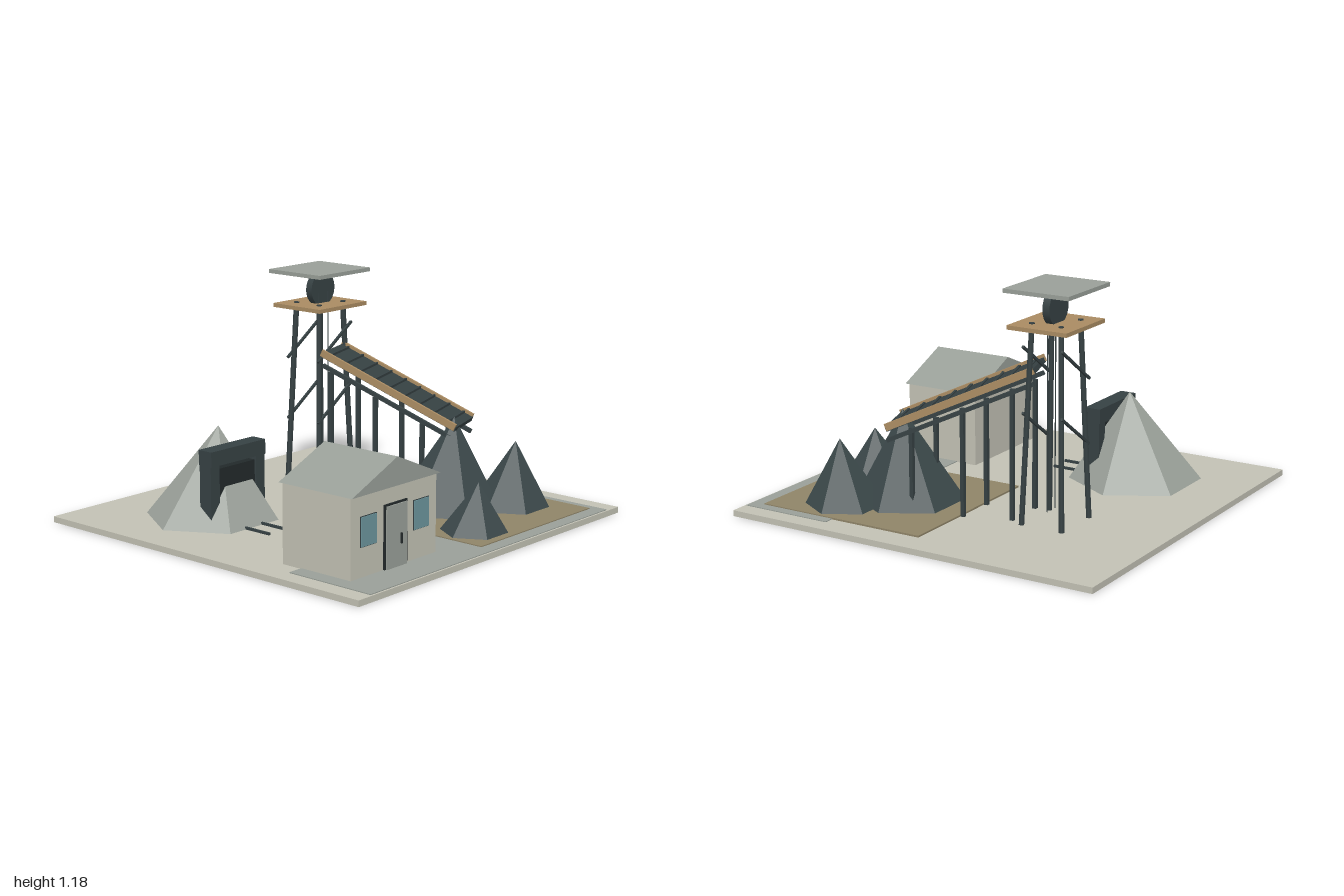
import * as THREE from 'three';

const mat = (name, color, extra = {}) => {
  const m = new THREE.MeshStandardMaterial({ color, ...extra });
  m.name = name;
  return m;
};

export function createModel() {
  const model = new THREE.Group();
  model.name = 'miningCamp';

  const stone = mat('paleStone', 0xc2c1b4);
  const grey = mat('grey', 0x999f98);
  const rock = mat('rockGrey', 0x9da39c);
  const coal = mat('coal', 0x3c494b);
  const steel = mat('darkSteel', 0x364143);
  const black = mat('shadowBlack', 0x22292a);
  const dirt = mat('dirt', 0x8f8468);
  const wood = mat('wood', 0xa98b62);
  const glass = mat('glass', 0x6c959c);
  rock.flatShading = coal.flatShading = true;

  const add = (name, geo, material, parent = model) => {
    const mesh = new THREE.Mesh(geo, material);
    mesh.name = name;
    parent.add(mesh);
    return mesh;
  };
  const group = (name) => {
    const g = new THREE.Group();
    g.name = name;
    model.add(g);
    return g;
  };
  // box given by its extents
  const box = (name, x0, x1, y0, y1, z0, z1, material, parent) => {
    const mesh = add(name, new THREE.BoxGeometry(x1 - x0, y1 - y0, z1 - z0), material, parent);
    mesh.position.set((x0 + x1) / 2, (y0 + y1) / 2, (z0 + z1) / 2);
    return mesh;
  };
  // square or round bar between two points
  const bar = (name, a, b, w, h, material, parent) => {
    const mesh = add(name, new THREE.BoxGeometry(w, h, a.distanceTo(b)), material, parent);
    mesh.position.copy(a).lerp(b, 0.5);
    mesh.lookAt(b);
    return mesh;
  };
  const rod = (name, a, b, r, sides, material, parent) => {
    const mesh = add(name, new THREE.CylinderGeometry(r, r, a.distanceTo(b), sides), material, parent);
    mesh.position.copy(a).lerp(b, 0.5);
    mesh.quaternion.setFromUnitVectors(new THREE.Vector3(0, 1, 0), b.clone().sub(a).normalize());
    return mesh;
  };
  const V = (x, y, z) => new THREE.Vector3(x, y, z);
  // six-sided heap with its peak pushed slightly off centre
  const heap = (name, x, z, r, y0, y1, dx, dz, material) => {
    const geo = new THREE.ConeGeometry(r, y1 - y0, 6).rotateY(Math.PI / 6);
    const p = geo.attributes.position;
    for (let i = 0; i < p.count; i++) {
      if (p.getY(i) > 0) p.setXYZ(i, dx, p.getY(i), dz);
    }
    add(name, geo, material).position.set(x, (y0 + y1) / 2, z);
  };

  // Ground
  box('groundSlab', -1, 1, 0, 0.03, -1, 1, stone);
  box('road', -0.91, 0.91, 0.03, 0.034, 0.51, 0.99, grey);
  box('dirtPad', -0.03, 0.86, 0.03, 0.039, 0.01, 0.92, dirt);

  // Office hut with a gabled roof
  const hut = group('hut');
  box('hutWalls', -0.83, -0.23, 0.03, 0.416, 0.395, 0.805, stone, hut);
  const gable = new THREE.Shape([[-0.84, 0.415], [-0.215, 0.415], [-0.5275, 0.55]]
    .map(([x, y]) => new THREE.Vector2(x, y)));
  add('hutRoof', new THREE.ExtrudeGeometry(gable, { depth: 0.44, bevelEnabled: false }), grey, hut)
    .position.z = 0.38;
  box('doorFrame', -0.607, -0.447, 0.03, 0.338, 0.805, 0.814, black, hut);
  box('door', -0.598, -0.456, 0.03, 0.329, 0.812, 0.82, grey, hut);
  box('doorHandle', -0.503, -0.496, 0.14, 0.19, 0.82, 0.828, black, hut);
  for (const x of [-0.712, -0.343]) {
    box('windowFrame', x - 0.055, x + 0.055, 0.174, 0.317, 0.805, 0.809, steel, hut);
    box('windowPane', x - 0.052, x + 0.052, 0.177, 0.314, 0.807, 0.813, glass, hut);
  }

  // Rock hill and mine entrance
  heap('rockHill', -0.475, -0.415, 0.337, 0.03, 0.49, 0.028, 0.022, rock);
  const portal = group('minePortal');
  for (const s of [-1, 1]) {
    const x = -0.478 + s * 0.157;
    box('portalPost', x - 0.03, x + 0.03, 0.03, 0.35, -0.305, -0.23, steel, portal);
    const rx = -0.476 + s * 0.056;
    box('trackRail', rx - 0.006, rx + 0.006, 0.03, 0.042, -0.25, 0.03, steel, portal);
  }
  box('portalLintel', -0.665, -0.29, 0.345, 0.42, -0.31, -0.225, steel, portal);
  box('portalOpening', -0.636, -0.32, 0.03, 0.325, -0.285, -0.24, black, portal);

  // Coal heaps
  heap('largeCoalHeap', 0.415, 0.36, 0.275, 0.036, 0.5, 0.026, 0.022, coal);
  heap('middleCoalHeap', 0.645, 0.585, 0.2, 0.036, 0.37, 0.018, 0.015, coal);
  heap('smallCoalHeap', 0.153, 0.735, 0.168, 0.036, 0.28, 0.015, 0.012, coal);

  // Winding tower
  const tower = group('windingTower');
  const cx = 0.32, cz = -0.412;
  for (const sx of [-1, 1]) for (const sz of [-1, 1]) {
    rod('towerLeg', V(cx + sx * 0.13, 0.03, cz + sz * 0.11),
      V(cx + sx * 0.09, 1.01, cz + sz * 0.078), 0.015, 6, steel, tower);
  }
  for (const y of [0.4, 0.72]) for (const sz of [-1, 1]) {
    bar('towerBrace', V(0.19, y, cz + sz * 0.105), V(0.447, y + 0.18, cz + sz * 0.105),
      0.012, 0.012, steel, tower);
  }
  box('towerDeck', 0.14, 0.5, 0.985, 1.005, -0.57, -0.25, wood, tower);
  const wheel = add('windingWheel', new THREE.CylinderGeometry(0.088, 0.088, 0.038, 24), coal, tower);
  wheel.geometry.rotateX(Math.PI / 2);
  wheel.material = steel;
  wheel.position.set(cx, 1.077, -0.407);
  for (const x of [0.281, 0.355]) {
    rod('hoistCable', V(x, 0.08, -0.386), V(x, 1.06, -0.386), 0.003, 5, steel, tower);
  }
  box('towerRoof', 0.13, 0.515, 1.16, 1.18, -0.59, -0.24, grey, tower);

  // Sloping conveyor: belt, side rails, cleats, lower chords and posts
  const conveyor = group('conveyor');
  const top = V(0.288, 0.772, -0.3), low = V(0.515, 0.448, 0.385);
  const dir = low.clone().sub(top);
  const side = V(dir.z, 0, -dir.x).normalize();
  const at = (t, across, up) => top.clone().addScaledVector(dir, t)
    .addScaledVector(side, across).add(V(0, up, 0));
  bar('belt', top, low, 0.26, 0.025, steel, conveyor);
  for (const s of [-1, 1]) {
    bar('sideRail', at(0, s * 0.13, 0.01), at(1, s * 0.13, 0.01), 0.016, 0.035, wood, conveyor);
    bar('lowerChord', at(0, s * 0.11, -0.06), at(1, s * 0.11, -0.06), 0.018, 0.02, steel, conveyor);
    for (const z of [-0.23, 0, 0.24]) {
      const t = (z - top.z) / dir.z;
      const p = at(t, 0, -0.06);
      const x = p.x + s * 0.105;
      box('conveyorPost', x - 0.01, x + 0.01, 0.03, p.y, z - 0.01, z + 0.01, steel, conveyor);
    }
  }
  for (let i = 0; i < 9; i++) {
    const t = 0.06 + i * 0.11;
    bar('beltCleat', at(t, -0.12, 0.016), at(t, 0.12, 0.016), 0.012, 0.012, steel, conveyor);
  }
  return model;
}
